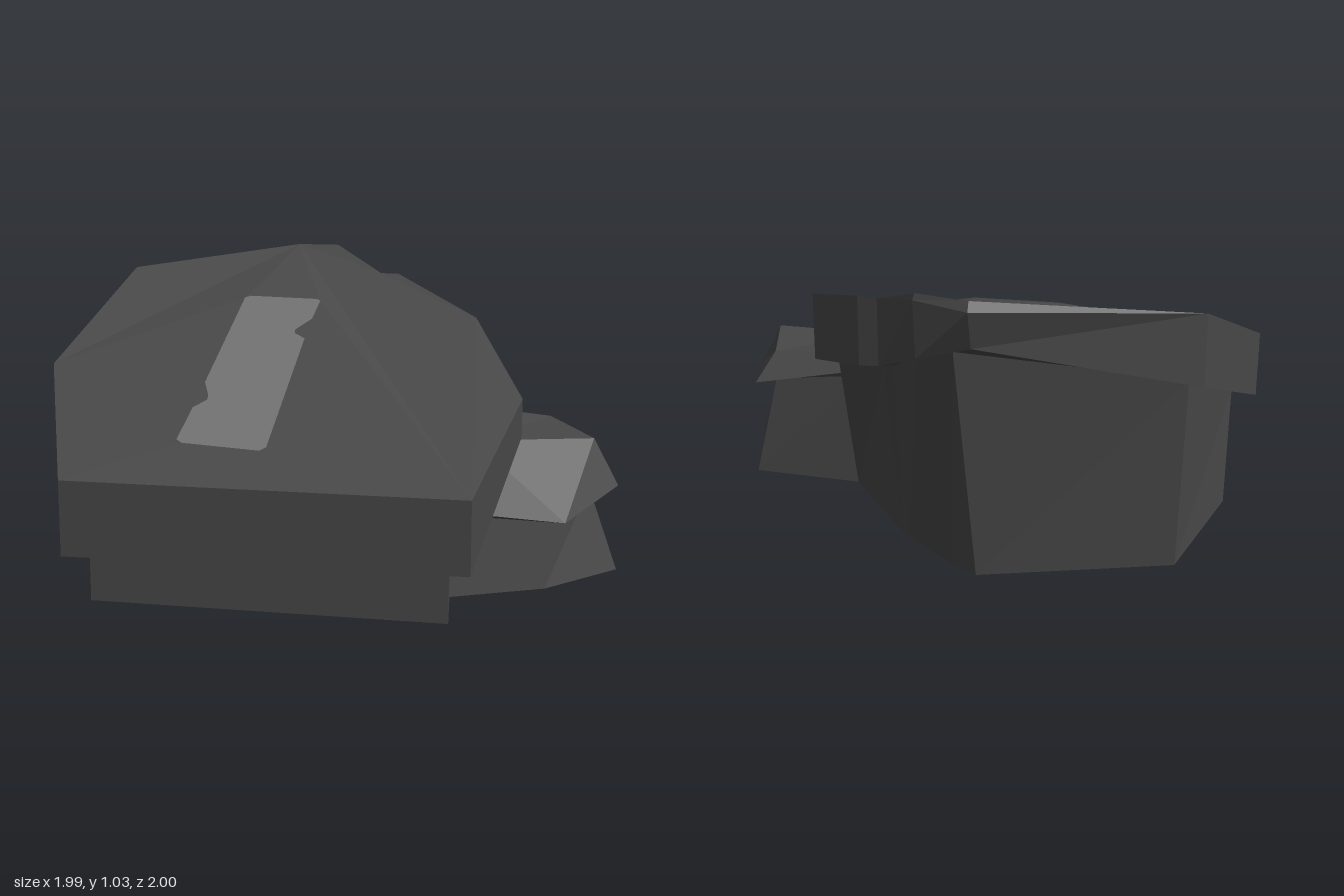
import * as THREE from 'three';

const stone = new THREE.MeshStandardMaterial({ color: 0x484848, flatShading: true, side: THREE.DoubleSide });
stone.name = 'dark stone';
const pale = new THREE.MeshStandardMaterial({ color: 0x707070, flatShading: true, side: THREE.DoubleSide });
pale.name = 'pale stone';

function toMesh(name, triangles, material) {
  const geometry = new THREE.BufferGeometry();
  geometry.setAttribute('position', new THREE.Float32BufferAttribute(triangles.flat(2), 3));
  geometry.computeVertexNormals();
  const mesh = new THREE.Mesh(geometry, material);
  mesh.name = name;
  return mesh;
}

// Wall between two matching outlines, running counter-clockwise seen from above
function wall(lower, upper, closed) {
  const tris = [];
  const n = lower.length;
  for (let i = 0; i < (closed ? n : n - 1); i++) {
    const j = (i + 1) % n;
    tris.push([lower[i], lower[j], upper[j]], [lower[i], upper[j], upper[i]]);
  }
  return tris;
}

// Sheet filling an outline, with an optional hole, facing up or down
function sheet(outline, hole, up) {
  const flat = (pts) => pts.map(([x, , z]) => new THREE.Vector2(x, -z));
  const points = hole ? [...outline, ...hole] : outline;
  const faces = THREE.ShapeUtils.triangulateShape(flat(outline), hole ? [flat(hole)] : []);
  return faces.map((f) => {
    const [a, b, c] = f.map((i) => points[i]);
    const ny = (b[2] - a[2]) * (c[0] - a[0]) - (b[0] - a[0]) * (c[2] - a[2]);
    return (ny > 0) === up ? [a, b, c] : [a, c, b];
  });
}

export function createModel() {
  const group = new THREE.Group();
  group.name = 'slanted rock';

  // Slanted slab: top and bottom outlines
  const slabTop = [
    [-0.78, 0.42, 0.87], [0.47, 0.41, 1.0], [0.66, 0.6, 0.37], [0.53, 0.8, -0.25], [0.23, 0.93, -0.67],
    [0.16, 0.93, -0.69], [-0.03, 1.03, -0.94], [-0.2, 1.03, -0.985], [-0.85, 0.95, -0.69], [-1.0, 0.66, 0.08],
  ];
  const slabMid = slabTop.map((p, i) => (i === 7 ? [-0.2, 1.0, -1.0] : i === 6 ? [-0.025, 1.01, -0.945] : p));
  const bottomY = [0.18, 0.18, 0.47, 0.56, 0.7, 0.71, 0.83, 0.88, 0.72, 0.43];
  const slabBottom = slabTop.map(([x, , z], i) => [x, bottomY[i], i === 7 ? -0.96 : z]);

  // Pale patch set into the slope
  const patch = [
    [-0.45, 0.67], [-0.43, 0.47], [-0.39, 0.42], [-0.39, 0.39], [-0.415, 0.3], [-0.36, -0.37], [-0.34, -0.385],
    [-0.08, -0.36], [-0.065, -0.345], [-0.085, -0.19], [-0.14, -0.1], [-0.14, -0.07], [-0.1, -0.03],
    [-0.16, 0.71], [-0.18, 0.73], [-0.43, 0.69],
  ].map(([x, z]) => [x, 0.735 - 0.335 * z, z]);

  // Body below the slab
  const bodyBottom = [
    [0.44, 0.02, -0.08], [0.16, 0.025, -0.46], [0.13, 0.025, -0.49], [-0.06, 0.03, -0.66], [-0.16, 0.03, -0.72],
    [-0.78, 0.03, -0.51], [-0.91, 0.015, 0.06], [-0.72, 0, 0.75], [0.41, 0, 0.9], [0.42, 0.005, 0.66],
  ];
  const bodyTop = [
    [0.45, 0.56, -0.23], [0.17, 0.68, -0.6], [0.13, 0.69, -0.62], [0, 0.8, -0.8], [-0.12, 0.83, -0.85],
    [-0.8, 0.7, -0.58], [-0.915, 0.45, 0.06], [-0.72, 0.22, 0.75], [0.41, 0.21, 0.9], [0.42, 0.31, 0.66],
  ];

  group.add(
    toMesh('slabTop', sheet(slabTop, patch, true), stone),
    toMesh('slabEdge', [...wall(slabBottom, slabMid, true),
      ...wall(slabMid.slice(5, 9), slabTop.slice(5, 9), false)], stone),
    toMesh('slabUnderside', sheet(slabBottom, bodyTop, false), stone),
    toMesh('palePatch', sheet(patch, null, true), pale),
    toMesh('bodyWall', wall(bodyBottom, bodyTop, false), stone),
  );

  // Small rock on the left side: foot, overhanging lip and sloped top
  const footBottom = [[0.42, 0.005, 0.66], [0.73, 0.01, 0.57], [0.99, 0.015, 0.36], [0.85, 0.02, -0.06], [0.44, 0.02, -0.08]];
  const footTop = [[0.42, 0.27, 0.64], [0.73, 0.24, 0.55], [0.89, 0.3, 0.36], [0.78, 0.38, 0], [0.45, 0.44, -0.07]];
  const lip = [[0.45, 0.28, 0.65], [0.79, 0.23, 0.57], [0.985, 0.31, 0.37], [0.84, 0.38, -0.06], [0.45, 0.46, -0.08]];
  const crown = [[0.5, 0.46, 0.385], [0.9, 0.47, 0.37], [0.79, 0.48, 0.03], [0.45, 0.51, -0.03]];
  const lipSlope = [
    [lip[0], lip[1], crown[0]], [lip[1], crown[1], crown[0]], [lip[1], lip[2], crown[1]],
    ...wall(lip.slice(2), crown.slice(1), false),
  ];
  group.add(
    toMesh('sideRockFoot', wall(footBottom, footTop, false), stone),
    toMesh('sideRockUnderside', wall(footTop, lip, false), stone),
    toMesh('sideRockLip', lipSlope, stone),
    toMesh('sideRockTop', sheet(crown, null, true), stone),
  );
  return group;
}
